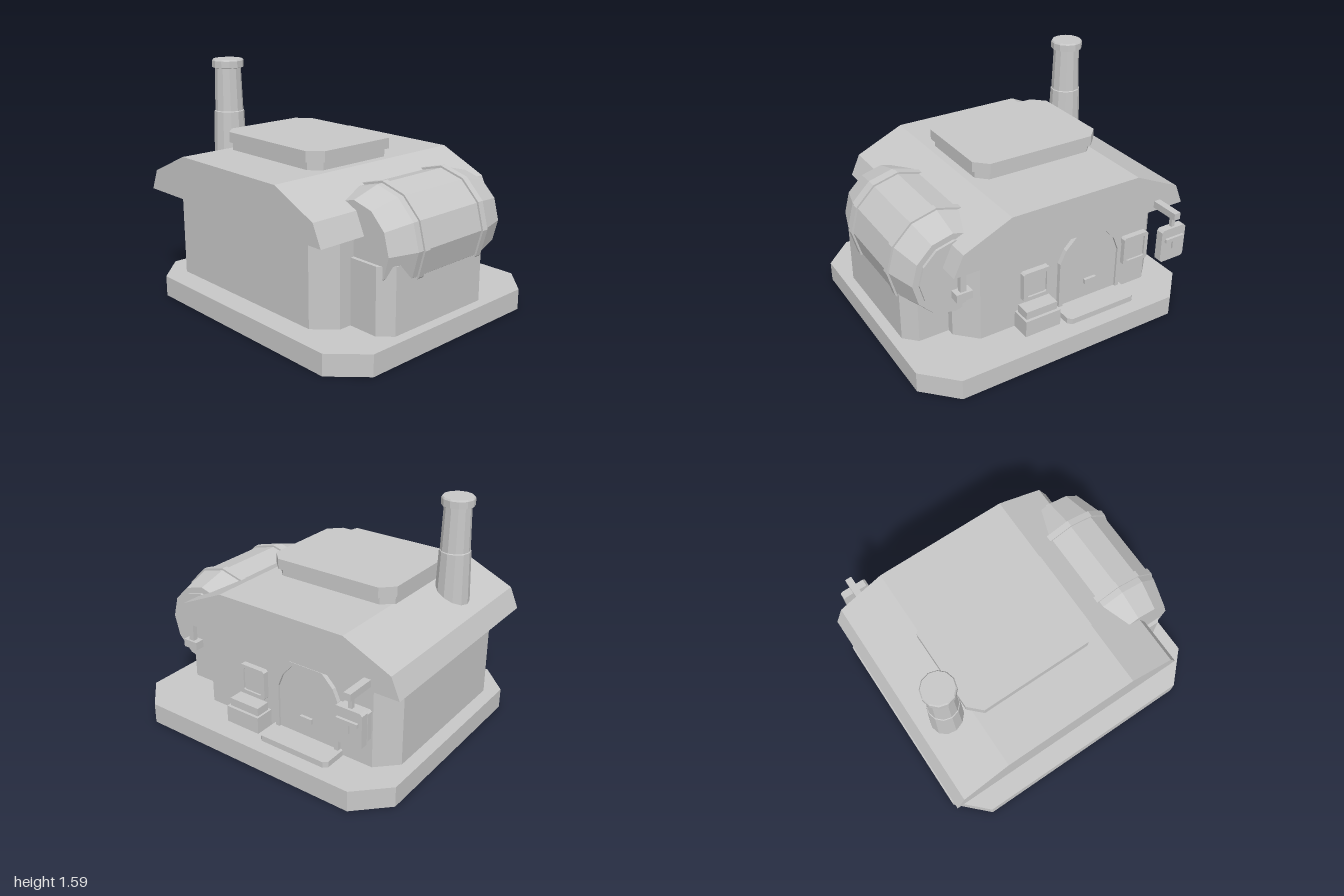
import * as THREE from 'three';

export function createModel() {
  const model = new THREE.Group();
  const stone = new THREE.MeshStandardMaterial({ color: 0xc8c8c8, flatShading: true, side: THREE.DoubleSide });
  stone.name = 'plain grey';

  function add(name, geometry, parent = model) {
    const mesh = new THREE.Mesh(geometry, stone);
    mesh.name = name;
    parent.add(mesh);
    return mesh;
  }

  function group(name) {
    const g = new THREE.Group();
    g.name = name;
    model.add(g);
    return g;
  }

  // Axis-aligned box given by its limits
  function box(name, [x0, x1], [y0, y1], [z0, z1], parent) {
    const g = new THREE.BoxGeometry(x1 - x0, y1 - y0, z1 - z0);
    g.translate((x0 + x1) / 2, (y0 + y1) / 2, (z0 + z1) / 2);
    return add(name, g, parent);
  }

  const polygon = (pts) => new THREE.Shape(pts.map(([x, y]) => new THREE.Vector2(x, y)));

  // Rectangle with cut corners
  function cutRect(x0, x1, y0, y1, c) {
    return polygon([
      [x0 + c, y0], [x1 - c, y0], [x1, y0 + c], [x1, y1 - c],
      [x1 - c, y1], [x0 + c, y1], [x0, y1 - c], [x0, y0 + c],
    ]);
  }

  // Upright block with cut vertical corners
  function block(name, [x0, x1], [y0, y1], [z0, z1], c, parent) {
    const g = new THREE.ExtrudeGeometry(cutRect(x0, x1, -z1, -z0, c), { depth: y1 - y0, bevelEnabled: false });
    g.rotateX(-Math.PI / 2).translate(0, y0, 0);
    return add(name, g, parent);
  }

  // Plate with an outline in x and y, between two depths
  function plate(name, shape, z0, z1, parent) {
    const g = new THREE.ExtrudeGeometry(shape, { depth: z1 - z0, bevelEnabled: false });
    g.translate(0, 0, z0);
    return add(name, g, parent);
  }

  const lathe = (pts, sides = 12) =>
    new THREE.LatheGeometry(pts.map(([r, y]) => new THREE.Vector2(r, y)), sides);

  // Base: top and sides, hollow underneath
  const base = block('base', [-1, 1], [0, 0.14], [-0.885, 0.885], 0.203);
  const p = base.geometry.attributes.position;
  const kept = [];
  for (let i = 0; i < p.count; i += 3) {
    if (Math.max(p.getY(i), p.getY(i + 1), p.getY(i + 2)) < 0.01) continue;
    for (let j = i; j < i + 3; j++) kept.push(p.getX(j), p.getY(j), p.getZ(j));
  }
  base.geometry = new THREE.BufferGeometry();
  base.geometry.setAttribute('position', new THREE.Float32BufferAttribute(kept, 3));
  base.geometry.computeVertexNormals();

  // House walls and side annex
  block('walls', [-0.91, 0.64], [0.14, 0.73], [-0.605, 0.73], 0.13);
  block('annex', [0.3, 0.93], [0.14, 0.57], [-0.425, 0.515], 0.082);

  // Roof with a flat top and its raised cap
  plate('roof', polygon([
    [-1, 0.715], [0.725, 0.715], [0.66, 0.855], [0.33, 1.005], [-0.61, 1.005], [-0.94, 0.855],
  ]), -0.68, 0.825);
  block('roofCapNeck', [-0.62, 0.275], [1, 1.06], [-0.21, 0.465], 0.07);
  block('roofCap', [-0.64, 0.3], [1.06, 1.13], [-0.24, 0.487], 0.083);

  // Chimney
  const chimney = lathe([
    [0.118, 0.78], [0.102, 1.235], [0.097, 1.24], [0.088, 1.53], [0.107, 1.535],
    [0.107, 1.58], [0.1, 1.59], [0.08, 1.59], [0, 1.59],
  ]);
  add('chimney', chimney.translate(-0.75, 0, 0.34));

  // Barrel lying along z, with bands and a rear lid
  const barrel = group('barrel');
  barrel.position.set(0.64, 0.635, 0);
  const round = (name, pts) => add(name, lathe(pts).rotateX(Math.PI / 2), barrel);
  round('barrelBody', [[0, -0.525], [0.28, -0.525], [0.337, -0.32], [0.337, 0.3], [0.28, 0.49], [0, 0.49]]);
  for (const z of [-0.3, 0.235]) {
    round('barrelBand', [[0.32, z - 0.022], [0.35, z - 0.022], [0.35, z + 0.022], [0.32, z + 0.022]]);
  }
  round('barrelLid', [[0, -0.543], [0.24, -0.543], [0.24, -0.52]]);

  // Door on the back wall, with its step and handle
  const door = group('door');
  const arch = (w, top) => polygon([
    [-0.305 - w, 0.14], [-0.305 + w, 0.14], [-0.305 + w, top - 0.17], [-0.305 + w * 0.83, top - 0.08],
    [-0.305 + w * 0.5, top], [-0.305 - w * 0.5, top], [-0.305 - w * 0.83, top - 0.08], [-0.305 - w, top - 0.17],
  ]);
  const frame = arch(0.245, 0.68);
  frame.holes.push(arch(0.215, 0.65));
  plate('doorFrame', frame, -0.635, -0.6, door);
  plate('doorPanel', arch(0.215, 0.65), -0.62, -0.6, door);
  box('doorHandle', [-0.35, -0.26], [0.29, 0.325], [-0.64, -0.61], door);
  block('doorStep', [-0.57, -0.04], [0.14, 0.18], [-0.785, -0.59], 0.025, door);

  // Windows either side of the door
  for (const x of [0.12, -0.67]) {
    const win = group('window');
    const outline = cutRect(x - 0.1, x + 0.1, 0.33, 0.54, 0.012);
    outline.holes.push(cutRect(x - 0.072, x + 0.072, 0.358, 0.512, 0.008));
    plate('windowFrame', outline, -0.645, -0.6, win);
    box('windowPane', [x - 0.075, x + 0.075], [0.355, 0.515], [-0.632, -0.6], win);
  }

  // Crate under a window
  const crate = group('crate');
  box('crateBody', [0, 0.26], [0.14, 0.255], [-0.74, -0.6], crate);
  box('crateLid', [0.015, 0.245], [0.255, 0.31], [-0.72, -0.62], crate);

  // Lamp hanging from the eaves
  const lamp = group('lamp');
  box('lampPost', [0.625, 0.665], [0.57, 0.72], [-0.645, -0.61], lamp);
  box('lampBox', [0.59, 0.7], [0.52, 0.575], [-0.66, -0.595], lamp);

  // Hanging sign on an arm from the roof edge
  const sign = group('hangingSign');
  box('signArm', [-0.807, -0.76], [0.743, 0.79], [-0.88, -0.66], sign);
  box('signHook', [-0.797, -0.77], [0.67, 0.745], [-0.85, -0.825], sign);
  plate('signBoard', cutRect(-0.877, -0.684, 0.443, 0.68, 0.015), -0.867, -0.815, sign);
  box('signBar', [-0.855, -0.71], [0.59, 0.615], [-0.885, -0.86], sign);
  box('signPeg', [-0.795, -0.77], [0.53, 0.59], [-0.88, -0.86], sign);

  return model;
}
